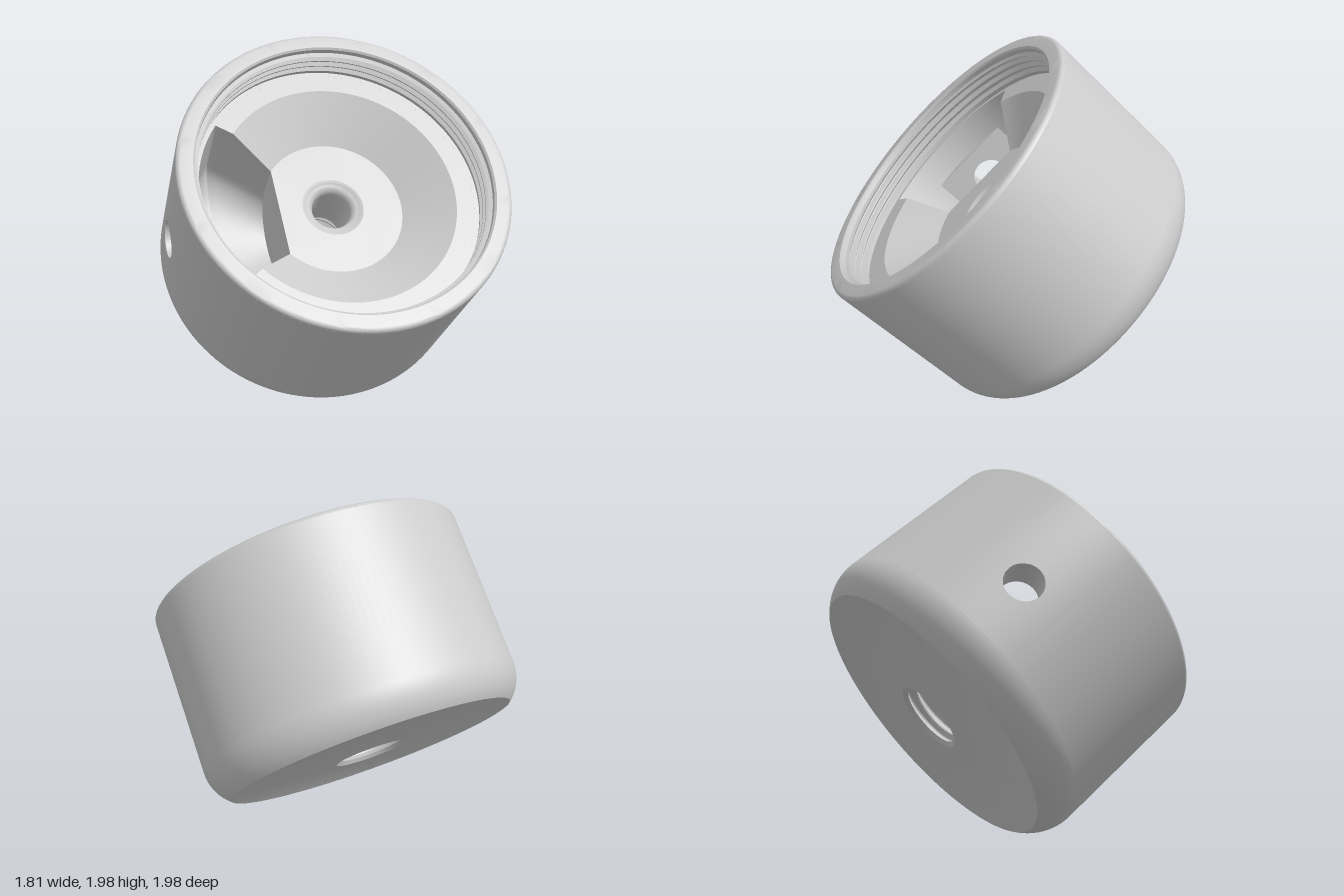
import * as THREE from 'three';
import { toCreasedNormals } from 'three/addons/utils/BufferGeometryUtils.js';

const R = 0.905, H = 1.096;             // outer radius and height of the cup
const FLOOR = 0.72, LEDGE = 0.896;      // heights of the inner floor and ledge
const R_FLOOR = 0.4, R_CONE = 0.66, R_POCKET = 0.765;
const X_IN = -0.305, X_CREASE = -0.6, X_OUT = -0.72; // pocket stations
const W_IN = 0.259, SLOPE = 0.705;      // pocket half width and its flare
const HOLE_Y = 0.53, HOLE_R = 0.105;    // side hole
const SIDE = Math.PI * 1.5;             // lathe angle of the -x side

const material = new THREE.MeshStandardMaterial({ color: 0xcccccc, side: THREE.DoubleSide });

function mesh(name, geometry) {
  const m = new THREE.Mesh(geometry, material);
  m.name = name;
  return m;
}

function lathe(points, start = 0, length = Math.PI * 2, segments = 128) {
  const pts = points.map(([r, y]) => new THREE.Vector2(r, y));
  return toCreasedNormals(new THREE.LatheGeometry(pts, segments, start, length), 0.5);
}

// Surface through a grid of points given by fn(i, j)
function grid(rows, cols, fn) {
  const pos = [], index = [];
  for (let i = 0; i <= rows; i++) for (let j = 0; j <= cols; j++) pos.push(...fn(i, j));
  for (let i = 0; i < rows; i++) for (let j = 0; j < cols; j++) {
    const a = i * (cols + 1) + j, b = a + cols + 1;
    index.push(a, b, a + 1, b, b + 1, a + 1);
  }
  const g = new THREE.BufferGeometry();
  g.setAttribute('position', new THREE.Float32BufferAttribute(pos, 3));
  g.setIndex(index);
  g.computeVertexNormals();
  return g;
}

// Quarter-like arc in a profile
function arc(cx, cy, r, from, to, n) {
  return Array.from({ length: n + 1 }, (_, i) => {
    const a = from + (to - from) * i / n;
    return [cx + r * Math.cos(a), cy + r * Math.sin(a)];
  });
}

// Thread-like grooves running down a bore
function grooves(crest, root, top, pitch, count) {
  const out = [];
  for (let i = 0; i < count; i++) {
    const y = top - i * pitch;
    out.push([crest, y], [root, y - pitch * 0.35], [root, y - pitch * 0.5], [crest, y - pitch * 0.85]);
  }
  return out;
}

// Half width of the pocket at x: flared sides, then the round outer wall
const pocketWidth = x => x > X_CREASE
  ? W_IN + SLOPE * (X_IN - x)
  : Math.sqrt(R_POCKET ** 2 - x * x);

const innerHeight = r => r <= R_FLOOR + 0.002 ? FLOOR
  : Math.min(LEDGE, FLOOR + (LEDGE - FLOOR) * (r - R_FLOOR) / (R_CONE - R_FLOOR));

// Angle from -x at which the pocket edge crosses radius r
function pocketAngle(r) {
  const a = 1 + SLOPE ** 2, b = X_IN * -1 + W_IN * SLOPE, c = X_IN ** 2 + W_IN ** 2 - r * r;
  const s = Math.max(0, (-b + Math.sqrt(b * b - a * c)) / a);
  return Math.atan2(W_IN + SLOPE * s, -X_IN + s);
}

// U-shaped pocket section as [z, y] points
function pocketSection(x, top) {
  const w = pocketWidth(x), pts = [[-w, top]];
  for (let i = 0; i <= 24; i++) {
    const a = Math.PI * (1 + i / 24);
    pts.push([w * Math.cos(a), 0.5 + 0.2 * Math.sin(a)]);
  }
  pts.push([w, top]);
  return pts;
}

function pocketCap(x, hole) {
  const shape = new THREE.Shape(pocketSection(x, FLOOR).map(p => new THREE.Vector2(...p)));
  if (hole) shape.holes.push(new THREE.Path().absarc(0, HOLE_Y, HOLE_R, 0, Math.PI * 2, true));
  return new THREE.ShapeGeometry(shape, 24).rotateY(-Math.PI / 2).translate(x, 0, 0);
}

// Part of the outer wall around the side hole, from hole edge to a rectangle
function wallPatch(half, y0, y1) {
  const n = 10, edge = [];
  const corners = [[-half, y0], [half, y0], [half, y1], [-half, y1], [-half, y0]];
  for (let k = 0; k < 4; k++) for (let i = 0; i < n; i++) {
    edge.push([0, 1].map(d => corners[k][d] + (corners[k + 1][d] - corners[k][d]) * i / n));
  }
  edge.push(corners[0]);
  const g = grid(6, edge.length - 1, (i, j) => {
    const [ea, ey] = edge[j], t = i / 6;
    const dir = Math.atan2(ey - HOLE_Y, ea * R);
    const a = SIDE + THREE.MathUtils.lerp(HOLE_R * Math.cos(dir) / R, ea, t);
    const y = THREE.MathUtils.lerp(HOLE_Y + HOLE_R * Math.sin(dir), ey, t);
    return [R * Math.sin(a), y, R * Math.cos(a)];
  });
  const p = g.attributes.position, nor = g.attributes.normal;
  for (let i = 0; i < p.count; i++) nor.setXYZ(i, p.getX(i) / R, 0, p.getZ(i) / R);
  // wind the faces outward so they agree with the radial normals
  const ix = g.index.array;
  const v = [0, 1, 2].map(k => new THREE.Vector3().fromBufferAttribute(p, ix[k]));
  const face = v[1].clone().sub(v[0]).cross(v[2].clone().sub(v[0]));
  if (face.dot(v[0].clone().setY(0)) < 0) ix.reverse();
  return g;
}

export function createModel() {
  const cup = new THREE.Group();
  cup.name = 'cup';

  // Centre bore, threaded socket, base and rounded bottom edge
  cup.add(mesh('baseAndBore', lathe([
    [0.175, FLOOR], [0.155, 0.712], ...arc(0.16, 0.66, 0.05, Math.PI * 0.55, Math.PI, 6),
    [0.11, 0.4], [0.18, 0.4], ...grooves(0.18, 0.205, 0.37, 0.06, 6), [0.205, 0],
    [0.81, 0], ...arc(R - 0.238, 0.19, 0.238, -0.925, 0, 12)
  ])));

  // Outer wall with the side hole
  const half = 0.25, wallTop = H - 0.025;
  cup.add(mesh('outerWall', lathe([[R, 0.19], [R, wallTop]], SIDE + half, Math.PI * 2 - half * 2)));
  cup.add(mesh('outerWallAroundHole', wallPatch(half, 0.19, wallTop)));
  const tube = new THREE.CylinderGeometry(HOLE_R, HOLE_R, 0.181, 40, 1, true);
  cup.add(mesh('sideHole', tube.rotateZ(Math.PI / 2).translate(-0.8105, HOLE_Y, 0)));

  // Rim and threaded mouth down to the ledge
  cup.add(mesh('rimAndThread', lathe([
    ...arc(R - 0.025, wallTop, 0.025, 0, Math.PI / 2, 5),
    [0.815, H], [0.805, H - 0.01], [0.805, 1.06],
    ...grooves(0.785, 0.808, 1.05, 0.045, 3), [0.79, LEDGE], [R_POCKET, LEDGE]
  ])));

  // Flat floor, cut straight at the pocket
  const a0 = pocketAngle(R_FLOOR);
  const floor = new THREE.Shape().absarc(0, 0, R_FLOOR, -Math.PI + a0, Math.PI - a0, false);
  floor.holes.push(new THREE.Path().absarc(0, 0, 0.175, 0, Math.PI * 2, true));
  cup.add(mesh('floor', new THREE.ShapeGeometry(floor, 64).rotateX(-Math.PI / 2).translate(0, FLOOR, 0)));

  // Cone and ledge, open where the pocket cuts through
  for (const [name, r0, r1] of [['cone', R_FLOOR, R_CONE], ['ledge', R_CONE, R_POCKET]]) {
    cup.add(mesh(name, grid(8, 96, (i, j) => {
      const r = r0 + (r1 - r0) * i / 8, open = Math.PI - pocketAngle(r);
      const a = -open + 2 * open * j / 96;
      return [r * Math.cos(a), innerHeight(r), r * Math.sin(a)];
    })));
  }

  // Pocket: flared sides and dished floor, then round outer sides
  for (const [name, x0, x1] of [['pocketSides', X_IN, X_CREASE], ['pocketOuterSides', X_CREASE, X_OUT]]) {
    const g = grid(16, 26, (i, j) => {
      const x = x0 + (x1 - x0) * i / 16;
      const [z, y] = pocketSection(x, innerHeight(Math.hypot(x, pocketWidth(x))))[j];
      return [x, y, z];
    });
    cup.add(mesh(name, toCreasedNormals(g, 0.5)));
  }
  cup.add(mesh('pocketInnerEnd', pocketCap(X_IN, false)));
  cup.add(mesh('pocketOuterEnd', pocketCap(X_OUT, true)));

  // Small step above the pocket's outer end
  const b = Math.acos(-X_OUT / R_POCKET);
  const step = new THREE.Shape().absarc(0, 0, R_POCKET, Math.PI - b, Math.PI + b, false);
  cup.add(mesh('pocketStep', new THREE.ShapeGeometry(step, 32).rotateX(-Math.PI / 2).translate(0, FLOOR, 0)));
  cup.add(mesh('pocketStepWall', lathe([[R_POCKET, LEDGE], [R_POCKET, FLOOR]], SIDE - b, b * 2, 24)));

  // Tip the cup so its mouth faces up and forward
  cup.rotation.x = Math.PI / 4;
  cup.position.set(0, 0.585, -0.415);
  const model = new THREE.Group();
  model.name = 'tiltedCup';
  model.add(cup);
  return model;
}
